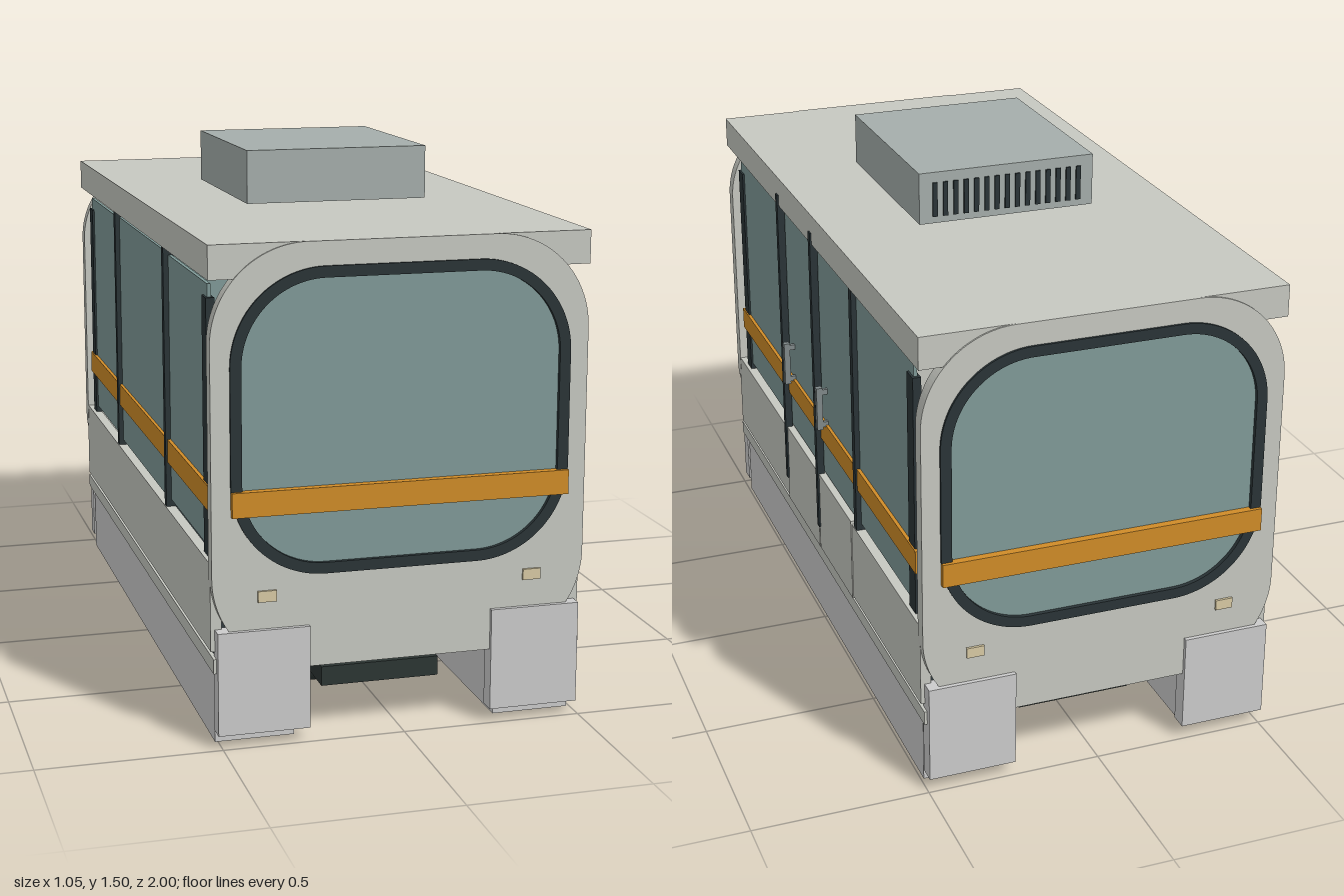
import * as THREE from 'three';

const mat = (color, side = THREE.FrontSide) => new THREE.MeshStandardMaterial({ color, side });

export function createModel() {
  const model = new THREE.Group();
  model.name = 'tramCar';
  const body = new THREE.Group();
  body.name = 'body';
  body.position.x = -0.008; // door handles widen one side only
  model.add(body);

  const shell = mat(0xc6c8c1), skirt = mat(0xc6c8c4), glass = mat(0x809a98, THREE.DoubleSide);
  const dark = mat(0x2a3437), orange = mat(0xd08c28), unit = mat(0xa5aeab);
  const lamp = mat(0xd8caa4), iron = mat(0x2c3533), metal = mat(0x80898a);

  const add = (name, geometry, material, parent = body) => {
    const m = new THREE.Mesh(geometry, material);
    m.name = name;
    parent.add(m);
    return m;
  };
  // Box given by its limits on each axis
  const box = (name, [x0, x1], [y0, y1], [z0, z1], material, parent = body) => {
    const m = add(name, new THREE.BoxGeometry(x1 - x0, y1 - y0, z1 - z0), material, parent);
    m.position.set((x0 + x1) / 2, (y0 + y1) / 2, (z0 + z1) / 2);
    return m;
  };
  // Rounded rectangle outline centred on x = 0
  const rounded = (hw, y0, y1, r, Type = THREE.Shape) => {
    const s = new Type();
    s.moveTo(-hw + r, y0);
    s.lineTo(hw - r, y0);
    s.absarc(hw - r, y0 + r, r, -Math.PI / 2, 0);
    s.lineTo(hw, y1 - r);
    s.absarc(hw - r, y1 - r, r, 0, Math.PI / 2);
    s.lineTo(-hw + r, y1);
    s.absarc(-hw + r, y1 - r, r, Math.PI / 2, Math.PI);
    s.lineTo(-hw, y0 + r);
    s.absarc(-hw + r, y0 + r, r, Math.PI, Math.PI * 1.5);
    return s;
  };
  const extrude = (shape, z, depth) => {
    const g = new THREE.ExtrudeGeometry(shape, { depth, bevelEnabled: false, curveSegments: 16 });
    return g.translate(0, 0, z);
  };

  // Roof and floor
  box('roof', [-0.517, 0.517], [1.25, 1.34], [-0.978, 0.978], shell);
  box('floor', [-0.511, 0.511], [0.205, 0.245], [-0.977, 0.977], shell);
  box('floorTrim', [-0.5, 0.5], [0.245, 0.262], [-0.94, 0.94], dark);

  // Identical ends: cap ring, window, stripe, lamps and corner blocks
  for (const turn of [0, Math.PI]) {
    const end = new THREE.Group();
    end.name = turn ? 'backEnd' : 'frontEnd';
    end.rotation.y = turn;
    body.add(end);

    const cap = rounded(0.515, 0.205, 1.34, 0.26);
    cap.holes.push(rounded(0.46, 0.465, 1.27, 0.25, THREE.Path));
    add('endCap', extrude(cap, 0.943, 0.04), shell, end);

    const frame = rounded(0.464, 0.46, 1.276, 0.255);
    frame.holes.push(rounded(0.434, 0.49, 1.246, 0.225, THREE.Path));
    add('endWindowFrame', extrude(frame, 0.96, 0.03), dark, end);
    add('endWindow', extrude(rounded(0.436, 0.488, 1.248, 0.227), 0.968, 0.01), glass, end);
    box('endStripe', [-0.463, 0.463], [0.63, 0.697], [0.975, 1.0], orange, end);

    for (const s of [-1, 1]) {
      const lampMesh = box('lamp', [-0.025, 0.025], [0.395, 0.425], [0.975, 0.99], lamp, end);
      lampMesh.position.x = s * 0.368;
      const block = box('cornerBlock', [-0.125, 0.125], [0.037, 0.32], [0.945, 0.995], skirt, end);
      block.position.x = s * 0.378;
    }
  }

  // Sides, mirrored by sign
  const sideBox = (name, s, a, b, y, z, material) =>
    box(name, s > 0 ? [a, b] : [-b, -a], y, z, material);
  for (const s of [-1, 1]) {
    sideBox('sideSkirt', s, 0.283, 0.5, [0, 0.205], [-0.933, 0.937], skirt);
    sideBox('lowerPanel', s, 0.485, 0.514, [0.26, 0.5], [-0.958, 0.958], shell);
    for (const [z0, z1] of [[0.375, 0.88], [-0.88, -0.375]]) {
      sideBox('sideWindow', s, 0.487, 0.497, [0.52, 1.225], [z0, z1], glass);
    }
    sideBox('middleWindow', s, 0.487, 0.498, [0.515, 1.23], [-0.37, 0.37], glass);
    sideBox('sideStripe', s, 0.49, 0.507, [0.63, 0.697], [-0.905, 0.905], orange);
    for (const e of [-1, 1]) {
      box('endPost', s > 0 ? [0.48, 0.503] : [-0.503, -0.48], [0.5, 1.19],
        e > 0 ? [0.84, 0.89] : [-0.89, -0.84], dark);
      const post = sideBox('windowPost', s, 0.482, 0.512, [0.48, 1.25], [-0.012, 0.012], dark);
      post.position.z = e * 0.375;
    }
  }

  // Sliding doors on the left side
  for (const [z0, z1] of [[-0.005, 0.345], [-0.345, -0.012]]) {
    box('doorPanel', [0.49, 0.517], [0.255, 0.51], [z0, z1], shell);
  }
  for (const z of [0.345, -0.01]) {
    box('doorPost', [0.5, 0.522], [0.33, 1.285], [z - 0.01, z + 0.01], dark);
    box('doorHandle', [0.515, 0.533], [0.685, 0.82], [z - 0.069, z - 0.051], metal);
    for (const y of [0.7, 0.805]) {
      box('handleMount', [0.495, 0.52], [y - 0.008, y + 0.008], [z - 0.066, z - 0.054], metal);
    }
  }

  // Roof unit with rear grille
  box('roofUnit', [-0.262, 0.263], [1.355, 1.505], [-0.245, 0.355], unit);
  for (let i = 0; i < 15; i++) {
    const x = -0.217 + i * 0.031;
    box('grilleSlat', [x - 0.007, x + 0.007], [1.375, 1.475], [-0.25, -0.24], dark);
  }

  // Two undercarriages
  for (const z of [-0.6, 0.6]) {
    const truck = new THREE.Group();
    truck.name = 'undercarriage';
    truck.position.z = z;
    body.add(truck);
    box('truckPlate', [-0.168, 0.168], [0.075, 0.13], [-0.2, 0.2], iron, truck);
    for (const s of [-1, 1]) {
      add('lowerRoller', new THREE.SphereGeometry(0.045, 24, 16), iron, truck).position.set(s * 0.14, 0.066, 0);
      add('upperRoller', new THREE.SphereGeometry(0.038, 24, 16), iron, truck).position.set(s * 0.082, 0.195, 0);
    }
  }
  return model;
}
